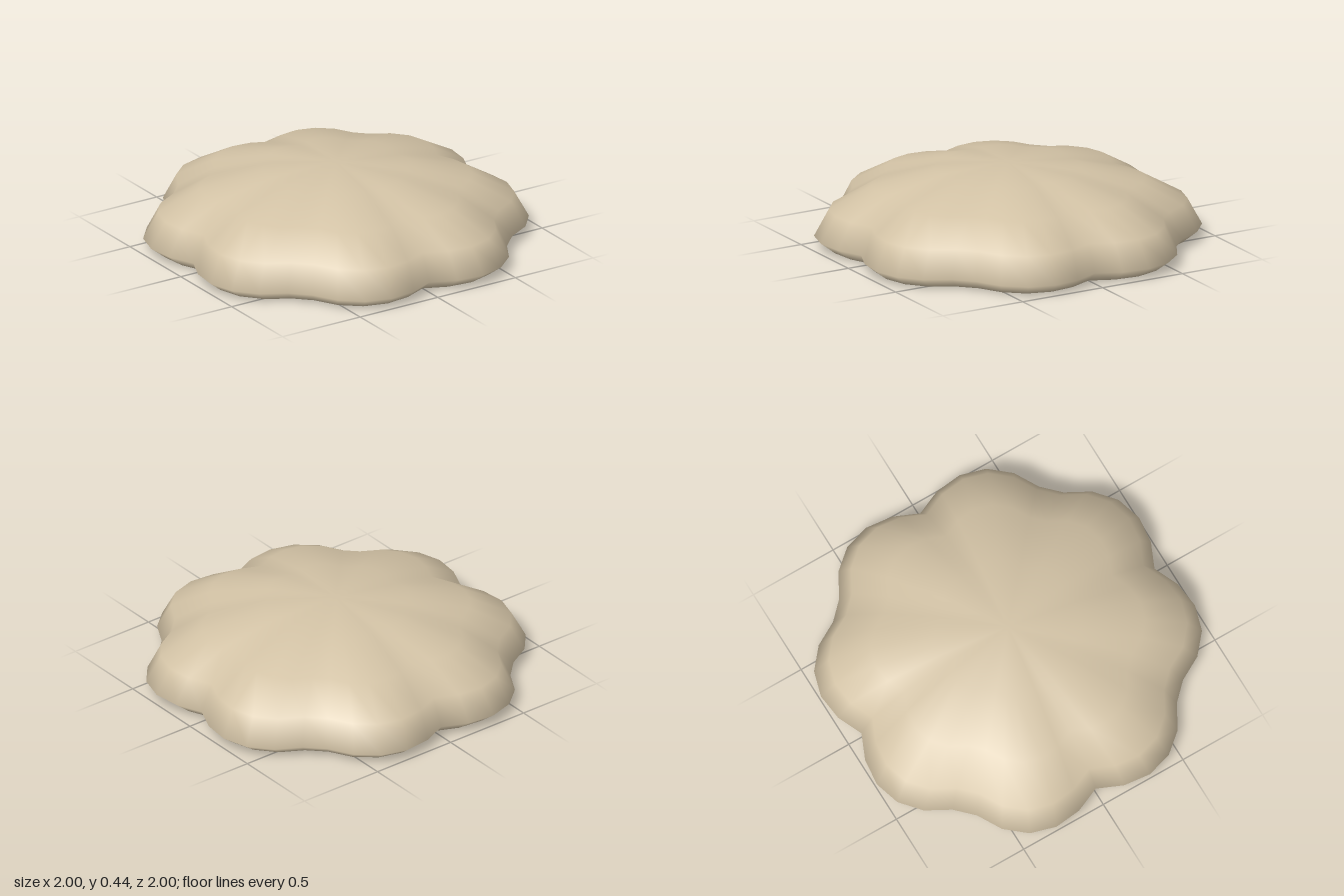
import * as THREE from 'three';
import { mergeVertices } from 'three/addons/utils/BufferGeometryUtils.js';

const RIM_Y = 0.06;    // height of the widest ring
const DOME = 0.385;    // dome height above that ring
const LOBES = 8;

// Outline radius: scalloped petals with sharp notches between them
const outline = (a) => 0.92 + 0.133 * Math.abs(Math.sin((a * LOBES) / 2));

function lobedDome() {
  let geo = new THREE.SphereGeometry(1, 44, 8);
  const pos = geo.attributes.position;
  for (let i = 0; i < pos.count; i++) {
    const x = pos.getX(i), y = pos.getY(i), z = pos.getZ(i);
    const r = outline(Math.atan2(z, x));
    // Flatten everything below the ground into a flat base
    pos.setXYZ(i, x * r, Math.max(0, RIM_Y + y * DOME), z * r);
  }
  // Weld the seam so the shading is smooth all round
  geo.deleteAttribute('uv');
  geo.deleteAttribute('normal');
  geo = mergeVertices(geo, 1e-4);
  geo.computeVertexNormals();
  return geo;
}

export function createModel() {
  const group = new THREE.Group();
  const dome = new THREE.Mesh(lobedDome(), new THREE.MeshStandardMaterial({ color: 0xd2c2a5 }));
  dome.name = 'lobedDome';
  group.add(dome);
  return group;
}
